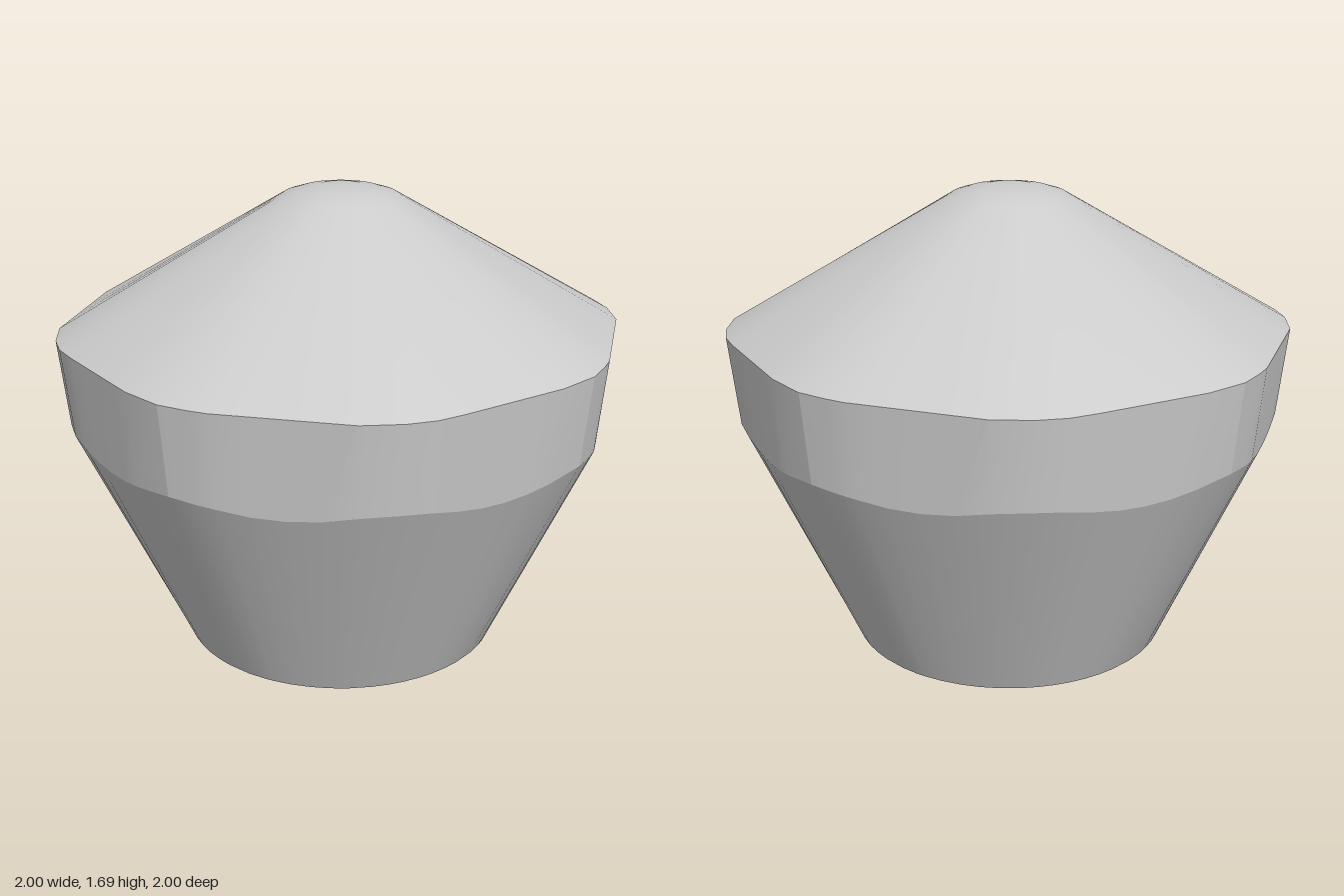
import * as THREE from 'three';
import { toCreasedNormals } from 'three/addons/utils/BufferGeometryUtils.js';

// One quarter of the rim outline [x, z]: two rounded corners and two flats
const QUARTER = [
  [0.04, -1], [0.11, -1], [0.22, -0.99], [0.37, -0.925],
  [0.71, -0.7], [0.79, -0.64], [0.855, -0.56], [0.92, -0.43],
];

// Full outline, turned four times, with the long flats subdivided
function rimOutline() {
  const corners = [];
  for (let q = 0; q < 4; q++) {
    for (let [x, z] of QUARTER) {
      for (let k = 0; k < q; k++) [x, z] = [-z, x];
      corners.push(new THREE.Vector2(x, z));
    }
  }
  const out = [];
  corners.forEach((p, i) => {
    const next = corners[(i + 1) % corners.length];
    const steps = p.distanceTo(next) > 0.3 ? 4 : 1;
    for (let s = 0; s < steps; s++) out.push(p.clone().lerp(next, s / steps));
  });
  return out;
}

// Skin a stack of rings, listed from the bottom up
function loft(rings, crease) {
  const pos = [];
  const triangle = (a, b, c) => {
    const area = b.clone().sub(a).cross(c.clone().sub(a)).length();
    if (area > 1e-7) for (const v of [a, b, c]) pos.push(v.x, v.y, v.z);
  };
  for (let j = 0; j < rings.length - 1; j++) {
    const n = rings[j].length;
    for (let i = 0; i < n; i++) {
      const k = (i + 1) % n;
      triangle(rings[j][i], rings[j + 1][i], rings[j][k]);
      triangle(rings[j][k], rings[j + 1][i], rings[j + 1][k]);
    }
  }
  const geo = new THREE.BufferGeometry();
  geo.setAttribute('position', new THREE.Float32BufferAttribute(pos, 3));
  return toCreasedNormals(geo, crease);
}

export function createModel() {
  const group = new THREE.Group();
  const material = new THREE.MeshStandardMaterial({ color: 0xcccccc });
  const outline = rimOutline();

  const circle = (r, y) => outline.map((p) => {
    const a = Math.atan2(p.y, p.x);
    return new THREE.Vector3(r * Math.cos(a), y, r * Math.sin(a));
  });
  const scaled = (s, height) => outline.map(
    (p) => new THREE.Vector3(p.x * s, height(p.length()), p.y * s));

  const rim = scaled(1, () => 1.173);
  // The shoulder rises a little at the corners and dips at the flats
  const shoulder = scaled(0.965, (r) => 0.81 + (r - 0.975) * 0.9);

  const add = (name, geo) => {
    const mesh = new THREE.Mesh(geo, material);
    mesh.name = name;
    group.add(mesh);
  };

  // Round foot widening into the eight-sided belt
  add('body', loft([circle(0, 0), circle(0.585, 0), shoulder, rim], 0.28));

  // Conical crown with a softly domed tip
  add('crown', loft([
    rim, circle(0.205, 1.653), circle(0.15, 1.671),
    circle(0.08, 1.684), circle(0, 1.688),
  ], 0.5));

  return group;
}
